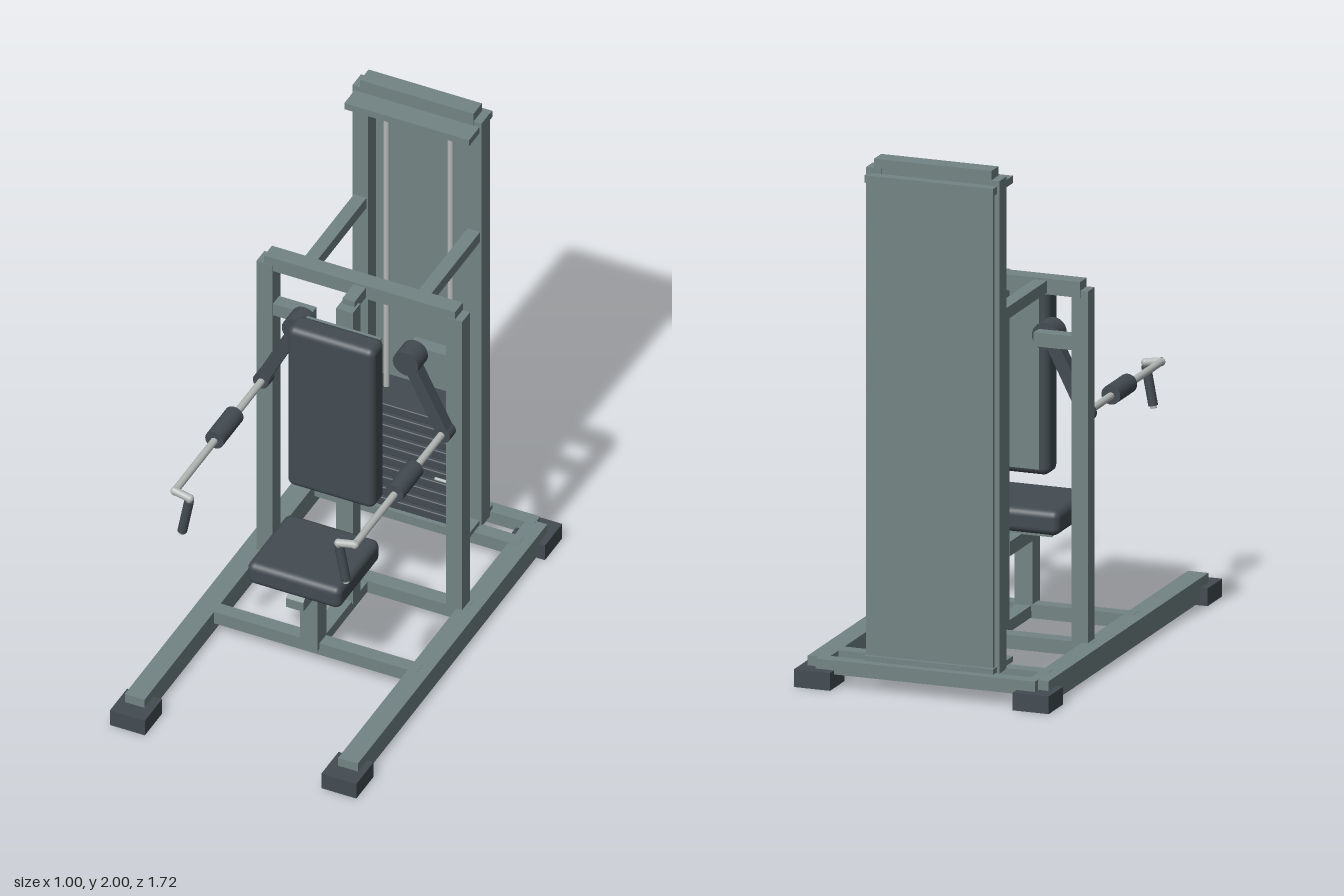
import * as THREE from 'three';
import { RoundedBoxGeometry } from 'three/addons/geometries/RoundedBoxGeometry.js';

export function createModel() {
  const model = new THREE.Group();
  model.name = 'chestPressMachine';
  const mat = (name, color) => {
    const m = new THREE.MeshStandardMaterial({ color });
    m.name = name;
    return m;
  };
  const frame = mat('frame grey green', 0x738484);
  const dark = mat('dark padding', 0x434c52);
  const steel = mat('bright steel', 0xb4b9b7);

  const add = (name, geo, material, parent = model) => {
    const mesh = new THREE.Mesh(geo, material);
    mesh.name = name;
    parent.add(mesh);
    return mesh;
  };
  // Box given by its extents on each axis; a radius rounds its edges
  const box = (name, [x0, x1], [y0, y1], [z0, z1], material = frame, radius = 0, parent = model) => {
    const s = [x1 - x0, y1 - y0, z1 - z0];
    const geo = radius ? new RoundedBoxGeometry(...s, 4, radius) : new THREE.BoxGeometry(...s);
    const mesh = add(name, geo, material, parent);
    mesh.position.set((x0 + x1) / 2, (y0 + y1) / 2, (z0 + z1) / 2);
    return mesh;
  };
  // Cylinder running between two points
  const rod = (name, a, b, r, material = steel, parent = model) => {
    const p = new THREE.Vector3(...a), q = new THREE.Vector3(...b);
    const mesh = add(name, new THREE.CylinderGeometry(r, r, p.distanceTo(q), 24), material, parent);
    mesh.position.copy(p).add(q).multiplyScalar(0.5);
    mesh.quaternion.setFromUnitVectors(new THREE.Vector3(0, 1, 0), q.sub(p).normalize());
    return mesh;
  };

  // Base: cross members and spine
  for (const [z0, z1] of [[-0.82, -0.767], [-0.685, -0.63], [-0.26, -0.2], [0.155, 0.21]]) {
    box('baseCrossMember', [-0.43, 0.43], [0.052, 0.105], [z0, z1]);
  }
  box('baseSpine', [-0.03, 0.03], [0.055, 0.1], [-0.2, 0.155]);

  // Seat support and back post
  box('seatPost', [-0.035, 0.035], [0.08, 0.36], [0.153, 0.227]);
  const beam = new THREE.Shape([[-0.07, 0.345], [0.345, 0.345], [0.345, 0.385], [0.33, 0.4], [-0.07, 0.4]]
    .map(([z, y]) => new THREE.Vector2(-z, y)));
  const seatBeam = add('seatBeam', new THREE.ExtrudeGeometry(beam, { depth: 0.07, bevelEnabled: false }), frame);
  seatBeam.rotation.y = Math.PI / 2;
  seatBeam.position.x = -0.035;
  box('backPost', [-0.034, 0.034], [0.09, 1.435], [-0.133, -0.07]);
  box('backPostConnector', [-0.025, 0.025], [1.415, 1.46], [-0.21, -0.105]);

  // Upholstery
  box('seatCushion', [-0.19, 0.19], [0.41, 0.505], [0.015, 0.362], dark, 0.028);
  box('seatPlate', [-0.15, 0.15], [0.398, 0.415], [0.05, 0.33]);
  box('backCushion', [-0.177, 0.177], [0.655, 1.385], [-0.047, 0.055], dark, 0.028);
  box('backPlate', [-0.15, 0.15], [0.685, 1.36], [-0.071, -0.045]);

  // Front frame top beam
  box('topBeam', [-0.387, 0.387], [1.41, 1.47], [-0.262, -0.197]);

  // Weight tower
  box('towerCap', [-0.23, 0.23], [1.94, 2], [-0.745, -0.675]);
  box('towerTopPlate', [-0.253, 0.253], [1.917, 1.945], [-0.785, -0.59]);
  box('towerBottomPlate', [-0.253, 0.253], [0.104, 0.125], [-0.785, -0.59]);
  box('backPanel', [-0.247, 0.247], [0.11, 1.93], [-0.77, -0.758]);
  for (let i = 0; i < 10; i++) {
    const y = 0.14 + i * 0.0484;
    box('weightPlate', [-0.175, 0.175], [y, y + 0.036], [-0.757, -0.587], dark, 0.005);
  }
  rod('selectorPin', [0.12, 0.343, -0.58], [0.205, 0.343, -0.58], 0.006);

  // Everything that stands on both sides
  for (const s of [1, -1]) {
    const side = new THREE.Group();
    side.name = s > 0 ? 'leftSide' : 'rightSide';
    model.add(side);
    const X = (a, b) => (s > 0 ? [a, b] : [-b, -a]);
    const P = (x, y, z) => [s * x, y, z];

    box('baseRail', X(0.393, 0.473), [0.015, 0.104], [-0.79, 0.79], frame, 0, side);
    for (const z of [-0.787, 0.787]) {
      box('foot', X(0.358, 0.5), [0, 0.067], [z - 0.072, z + 0.072], dark, 0, side);
    }
    box('frontUpright', X(0.352, 0.417), [0.1, 1.437], [-0.26, -0.195], frame, 0, side);
    box('towerUpright', X(0.2, 0.262), [0.1, 1.965], [-0.747, -0.677], frame, 0, side);
    box('towerBrace', X(0.205, 0.256), [1.416, 1.462], [-0.68, -0.25], frame, 0, side);
    rod('guideRod', P(0.13, 0.12, -0.69), P(0.13, 1.93, -0.69), 0.011, steel, side);

    // Press arm: bracket, hub, lever
    box('armBracket', X(0.2, 0.36), [1.205, 1.258], [-0.25, -0.198], frame, 0, side);
    rod('armHub', P(0.225, 1.232, -0.2), P(0.225, 1.232, -0.117), 0.052, dark, side);
    const top = new THREE.Vector2(s * 0.225, 1.232), end = new THREE.Vector2(s * 0.37, 0.945);
    const lever = add('armLever', new THREE.BoxGeometry(0.05, top.distanceTo(end), 0.048), dark, side);
    lever.position.set((top.x + end.x) / 2, (top.y + end.y) / 2, -0.153);
    lever.rotation.z = Math.atan2(end.x - top.x, top.y - end.y);
    rod('leverEnd', P(0.368, 0.942, -0.178), P(0.368, 0.942, -0.128), 0.032, dark, side);

    // Press bar with its elbow, sleeve and hanging handle
    rod('pressBar', P(0.365, 0.943, -0.17), P(0.365, 0.943, 0.598), 0.014, steel, side);
    add('barElbow', new THREE.SphereGeometry(0.016, 20, 14), steel, side).position.set(s * 0.365, 0.943, 0.595);
    rod('handleArm', P(0.37, 0.946, 0.595), P(0.302, 0.934, 0.6), 0.015, steel, side);
    add('handleElbow', new THREE.SphereGeometry(0.016, 20, 14), steel, side).position.set(s * 0.302, 0.934, 0.6);
    rod('handleCore', P(0.302, 0.934, 0.6), P(0.334, 0.763, 0.6), 0.012, steel, side);
    rod('handleGrip', P(0.304, 0.922, 0.6), P(0.332, 0.774, 0.6), 0.018, dark, side);
    rod('barSleeve', P(0.365, 0.947, 0.097), P(0.365, 0.947, 0.265), 0.037, dark, side);
  }
  return model;
}
